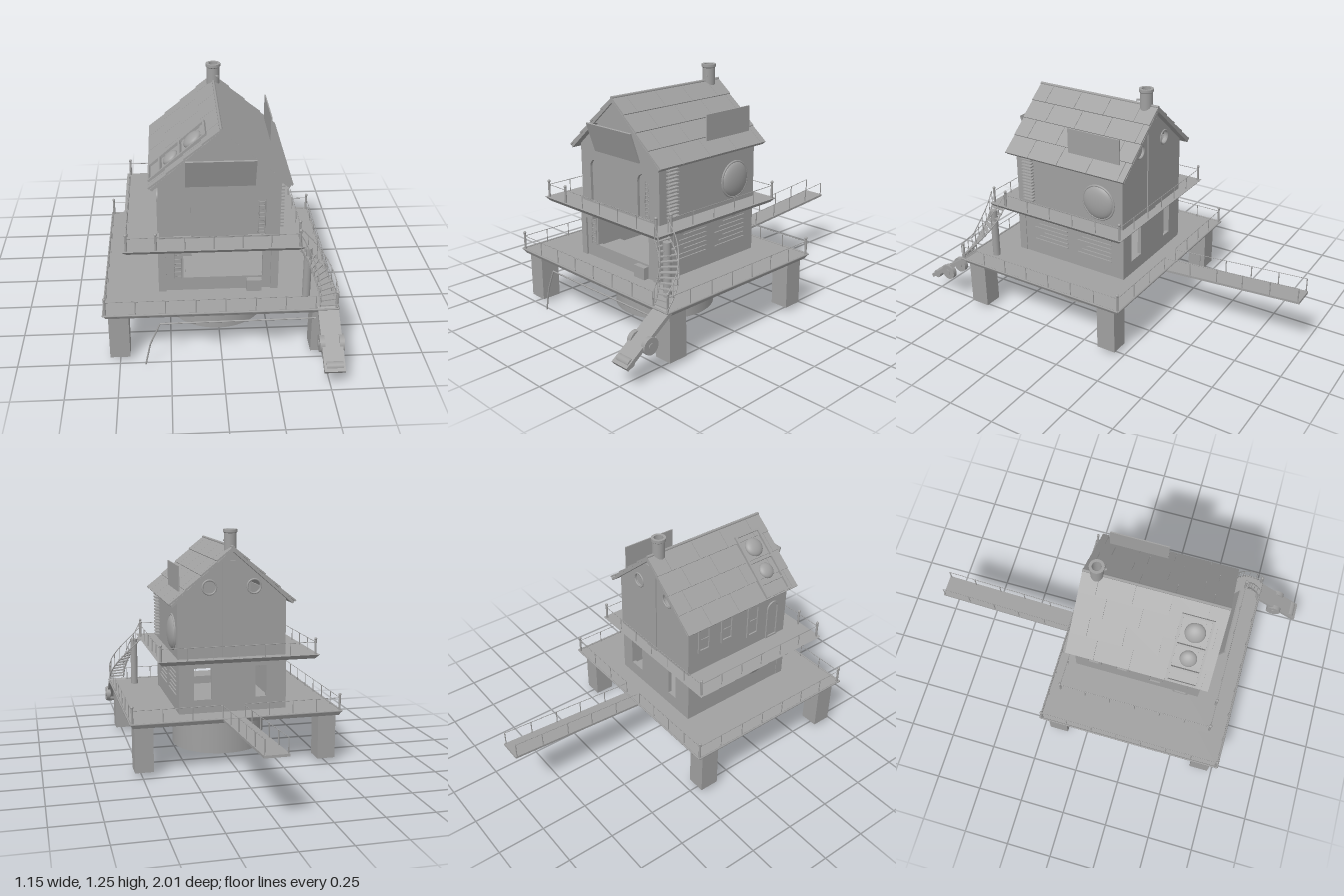
import * as THREE from 'three';

const grey = new THREE.MeshStandardMaterial({ color: 0xa0a0a0, side: THREE.DoubleSide });
grey.name = 'weatheredGrey';

export function createModel() {
  const model = new THREE.Group();
  const V = (x, y, z) => new THREE.Vector3(x, y, z);

  const add = (name, geo, x = 0, y = 0, z = 0, parent = model) => {
    const m = new THREE.Mesh(geo, grey);
    m.name = name;
    m.position.set(x, y, z);
    parent.add(m);
    return m;
  };
  const box = (name, x0, x1, y0, y1, z0, z1, parent) =>
    add(name, new THREE.BoxGeometry(x1 - x0, y1 - y0, z1 - z0), (x0 + x1) / 2, (y0 + y1) / 2, (z0 + z1) / 2, parent);
  const bar = (name, a, b, r, parent, sides = 6) => {
    const m = add(name, new THREE.CylinderGeometry(r, r, a.distanceTo(b), sides), 0, 0, 0, parent);
    m.position.copy(a).lerp(b, 0.5);
    m.quaternion.setFromUnitVectors(V(0, 1, 0), b.clone().sub(a).normalize());
    return m;
  };
  const dome = (name, r, sx, sy, sz, x, y, z, parent) =>
    add(name, new THREE.SphereGeometry(r, 24, 16), x, y, z, parent).scale.set(sx, sy, sz);
  // deck slab whose underside is smaller than its top
  const slab = (name, x0, x1, y0, y1, z0, z1, inset) => {
    const w = x1 - x0, d = z1 - z0, g = new THREE.BoxGeometry(w, y1 - y0, d).toNonIndexed(), p = g.attributes.position;
    for (let i = 0; i < p.count; i++)
      if (p.getY(i) < 0) {
        p.setX(i, p.getX(i) * (1 - 2 * inset / w));
        p.setZ(i, p.getZ(i) * (1 - 2 * inset / d));
      }
    g.computeVertexNormals();
    add(name, g, (x0 + x1) / 2, (y0 + y1) / 2, (z0 + z1) / 2);
  };
  const poly = (pts) => new THREE.Shape(pts.map(([x, y]) => new THREE.Vector2(x, y)));
  const rectHole = (x0, x1, y0, y1) => poly([[x0, y0], [x0, y1], [x1, y1], [x1, y0]]);
  const archShape = (x0, x1, y0, y1) => {
    const s = new THREE.Shape(), r = (x1 - x0) / 2;
    s.moveTo(x0, y0).lineTo(x1, y0).lineTo(x1, y1 - r).absarc((x0 + x1) / 2, y1 - r, r, 0, Math.PI, false);
    return s;
  };
  const circleHole = (x, y, r) => new THREE.Path().absarc(x, y, r, 0, Math.PI * 2, true);
  const plate = (name, shape, holes, depth, z, parent) => {
    shape.holes.push(...holes);
    return add(name, new THREE.ExtrudeGeometry(shape, { depth, bevelEnabled: false, curveSegments: 16 }), 0, 0, z, parent);
  };

  // foundation drum, flange and corner legs
  const drum = [[0.245, 0.265], [0.245, 0.02], [0.26, 0.02], [0.26, 0.235], [0.28, 0.24], [0.3, 0.266]];
  for (let i = 0; i < drum.length - 1; i++)
    add('foundationDrum', new THREE.LatheGeometry([drum[i], drum[i + 1]].map(([r, y]) => new THREE.Vector2(r, y)), 48), -0.005, 0, 0.255);
  for (const x of [-0.5, 0.488]) for (const z of [-0.16, 0.675])
    box('leg', x - 0.049, x + 0.049, 0.02, 0.266, z - 0.052, z + 0.052);

  // decks
  slab('lowerDeck', -0.57, 0.56, 0.265, 0.288, -0.25, 0.76, 0.012);
  slab('upperDeck', -0.47, 0.4, 0.56, 0.583, -0.165, 0.67, 0.02);
  for (const [a, b, c, d] of [[-0.57, -0.25, 0.56, -0.25], [0.56, -0.25, 0.56, 0.76], [0.56, 0.76, -0.57, 0.76], [-0.57, 0.76, -0.57, -0.25]])
    bar('deckTrim', V(a, 0.289, b), V(c, 0.289, d), 0.005);

  // railings with knobbed corner posts and thin rails
  const railing = (name, pts, y, h, knobs) => {
    const g = new THREE.Group();
    g.name = name;
    model.add(g);
    pts.forEach(([x, z], i) => {
      const a = V(x, y, z);
      if (knobs.includes(i)) {
        bar('cornerPost', a, V(x, y + h + 0.012, z), 0.006, g, 8);
        dome('postKnob', 0.008, 1, 1, 1, x, y + h + 0.018, z, g);
      }
      if (i === pts.length - 1) return;
      const b = V(pts[i + 1][0], y, pts[i + 1][1]), n = Math.max(1, Math.round(a.distanceTo(b) / 0.145));
      bar('rail', V(a.x, y + h, a.z), V(b.x, y + h, b.z), 0.0018, g, 5);
      for (let k = 0; k <= n; k++) {
        const p = a.clone().lerp(b, k / n);
        bar('railPost', p, V(p.x, y + h, p.z), 0.0025, g, 5);
      }
    });
  };
  railing('lowerRailing', [[-0.04, -0.24], [-0.56, -0.24], [-0.56, 0.75], [0.45, 0.75]], 0.288, 0.072, [1, 2]);
  railing('lowerRailingSide', [[0.08, -0.24], [0.55, -0.24], [0.55, 0.75]], 0.288, 0.072, [1, 2]);
  railing('upperRailing', [[0.385, 0.57], [0.385, -0.15], [-0.45, -0.15], [-0.45, 0.655], [-0.31, 0.655], [0.375, 0.655]], 0.583, 0.067, [0, 1, 2, 3, 4, 5]);

  // rear gangway
  const ramp = box('gangway', -0.04, 0.08, -0.006, 0.006, -0.376, 0.376);
  ramp.position.set(0.02, 0.307, -0.624);
  ramp.rotation.x = Math.atan2(0.05, 0.75);
  for (const x of [-0.035, 0.075]) {
    bar('gangwayRail', V(x, 0.355, -0.25), V(x, 0.41, -0.99), 0.0018);
    for (const z of [-0.39, -0.545, -0.69, -0.84, -0.99])
      bar('gangwayPost', V(x, 0.282 - (z + 0.25) * 0.067, z), V(x, 0.356 - (z + 0.25) * 0.074, z), 0.003);
  }

  // lower storey: front bay, rear wall with two openings, side walls
  const lower = () => poly([[-0.3, 0.288], [0.285, 0.288], [0.285, 0.562], [-0.3, 0.562]]);
  plate('lowerFrontWall', lower(), [rectHole(-0.18, 0.21, 0.36, 0.53)], 0.025, 0.53);
  plate('lowerBackWall', lower(), [rectHole(-0.19, -0.13, 0.36, 0.53), rectHole(0.11, 0.205, 0.36, 0.53)], 0.02, -0.11);
  box('lowerLeftWall', 0.265, 0.285, 0.288, 0.562, -0.09, 0.53);
  box('lowerRightWall', -0.3, -0.28, 0.288, 0.562, -0.09, 0.53);
  box('counter', -0.17, 0.2, 0.34, 0.36, 0.42, 0.53);
  box('frontBench', 0.13, 0.205, 0.288, 0.35, 0.555, 0.585);
  box('cornerPilaster', 0.25, 0.288, 0.288, 0.56, 0.52, 0.565);
  box('cornerPilaster', -0.303, -0.265, 0.288, 0.56, 0.52, 0.565);
  box('porchLamp', -0.2, -0.14, 0.525, 0.562, 0.57, 0.62);
  for (const z of [0.05, 0.42]) {
    bar('deckBrace', V(-0.38, 0.562, z), V(-0.3, 0.51, z), 0.004);
    bar('deckBrace', V(0.365, 0.562, z), V(0.285, 0.51, z), 0.004);
  }
  dome('sidePorthole', 0.07, 0.3, 1, 1, -0.298, 0.45, 0.35);
  for (let i = 0; i < 6; i++) for (const z of [-0.04, 0.24])
    box('wallSlat', 0.284, 0.292, 0.375 + i * 0.024, 0.379 + i * 0.024, z, z + 0.215 - (i % 3) * 0.03);

  // ladders made of two stiles and rungs
  const ladder = (x0, x1, y0, y1, z, n) => {
    for (const x of [x0, x1]) bar('ladderStile', V(x, y0, z), V(x, y1, z), 0.003);
    for (let i = 0; i < n; i++) {
      const y = y0 + (i + 0.5) / n * (y1 - y0);
      bar('ladderRung', V(x0, y, z), V(x1, y, z), 0.0025);
    }
  };
  ladder(-0.225, -0.19, 0.36, 0.53, 0.56, 7);
  ladder(0.185, 0.215, 0.6, 0.78, 0.55, 9);

  // upper storey: gabled walls with arched doors and round windows
  const gable = () => poly([[-0.295, 0.58], [0.29, 0.58], [0.29, 0.892], [0, 1.142], [-0.295, 0.892]]);
  const doors = [[-0.225, -0.14], [0.135, 0.22]];
  plate('frontGable', gable(), doors.map(([a, b]) => archShape(a, b, 0.59, 0.815)), 0.02, 0.535);
  doors.forEach(([a, b]) => plate('archedDoor', archShape(a, b, 0.585, 0.815), [], 0.008, 0.533));
  plate('backGable', gable(), [circleHole(-0.12, 0.955, 0.035), circleHole(0.12, 0.955, 0.035)], 0.02, -0.11);
  for (const x of [-0.12, 0.12]) add('roundWindowFrame', new THREE.TorusGeometry(0.037, 0.005, 8, 24), x, 0.955, -0.11);
  add('roundWindowPane', new THREE.CircleGeometry(0.036, 24), 0.12, 0.955, -0.1);
  box('backPilaster', -0.03, 0.05, 0.58, 1.09, -0.116, -0.109);
  box('upperLeftWall', 0.27, 0.29, 0.58, 0.895, -0.09, 0.535);
  box('upperRightWall', -0.295, -0.275, 0.58, 0.895, -0.09, 0.535);
  plate('gableTriangle', poly([[-0.165, 1.018], [0.165, 1.018], [0, 1.155]]), [], 0.025, 0.555);
  const sign = box('frontSignBoard', -0.165, 0.165, -0.08, 0.08, -0.004, 0.004);
  sign.position.set(0, 0.945, 0.59);
  sign.rotation.x = 0.33;

  // left side: bulging window and vent stack
  dome('bulgeWindow', 0.092, 0.33, 1, 1, 0.288, 0.705, 0.035);
  add('bulgeWindowFrame', new THREE.TorusGeometry(0.093, 0.006, 8, 36), 0.291, 0.705, 0.035).rotation.y = Math.PI / 2;
  for (let i = 0; i < 14; i++)
    box('ventSlat', 0.288, 0.313, 0.61 + i * 0.018, 0.617 + i * 0.018, 0.445, 0.51);

  // right side: framed windows, shutter panel and arched door
  for (const [z, y0, y1] of [[-0.01, 0.7, 0.85], [0.14, 0.7, 0.85], [0.32, 0.65, 0.84]]) {
    const w = plate('sideWindowFrame', rectHole(z - 0.04, z + 0.04, y0, y1), [rectHole(z - 0.028, z + 0.028, y0 + 0.015, y1 - 0.015)], 0.01, 0);
    w.rotation.y = -Math.PI / 2;
    w.position.x = -0.293;
    box('windowBar', -0.299, -0.294, (y0 + y1) / 2 - 0.004, (y0 + y1) / 2 + 0.004, z - 0.03, z + 0.03);
  }
  const sideDoor = plate('sideDoor', archShape(0.42, 0.5, 0.585, 0.81), [archShape(0.43, 0.49, 0.595, 0.8)], 0.01, 0);
  sideDoor.rotation.y = -Math.PI / 2;
  sideDoor.position.x = -0.293;

  // roof: each slope is a sheet with four courses of overlapping panels
  const slope = Math.atan2(0.29, 0.335), L = 0.443, D = 0.735;
  const roofSide = (name, turn) => {
    const outer = new THREE.Group(), g = new THREE.Group();
    outer.name = name;
    outer.position.set(0, 1.168, 0.2225);
    outer.rotation.y = turn;
    g.rotation.z = -slope;
    outer.add(g);
    model.add(outer);
    box('roofSheet', 0, L, -0.022, -0.008, -D / 2, D / 2, g);
    for (let c = 0; c < 4; c++) {
      const cuts = [0, 0.13, 0.38, 0.63, 0.88, 1].map((u, i) => (i === 0 || i === 5 ? u : u - (c % 2) * 0.08));
      for (let k = 0; k < 5; k++) {
        const p = box('roofPanel', c * L / 4, (c + 1) * L / 4 + 0.004, -0.008, 0.001, -D / 2 + cuts[k] * D + 0.001, -D / 2 + cuts[k + 1] * D - 0.001, g);
        p.rotation.z = 0.05;
      }
    }
    return g;
  };
  roofSide('leftRoof', 0);
  const rightRoof = roofSide('rightRoof', Math.PI);
  bar('ridgeCap', V(0, 1.163, -0.145), V(0, 1.163, 0.59), 0.008);

  // skylight frame with two domes
  for (const z of [-0.313, -0.16]) box('skylightFrame', 0.08, 0.44, -0.005, 0.014, z, z + 0.012, rightRoof);
  for (const s of [0.08, 0.235, 0.36, 0.43]) box('skylightFrame', s, s + 0.01, -0.005, 0.014, -0.313, -0.148, rightRoof);
  dome('skylightDome', 0.052, 1, 0.5, 1, 0.165, 0.002, -0.2325, rightRoof);
  dome('skylightDome', 0.043, 1, 0.5, 1, 0.304, 0.002, -0.2325, rightRoof);

  // roof-side panel and chimney
  box('uprightPanel', 0.272, 0.278, 0.935, 1.067, -0.085, 0.225);
  const flue = [[0.024, 1.1], [0.024, 1.25], [0.038, 1.25], [0.038, 1.235], [0.033, 1.23], [0.033, 1.09]];
  for (let i = 0; i < flue.length - 1; i++)
    add('chimney', new THREE.LatheGeometry([flue[i], flue[i + 1]].map(([r, y]) => new THREE.Vector2(r, y)), 24), 0, 0, -0.072);
  bar('chimneyPeg', V(0.01, 1.19, -0.05), V(0.025, 1.19, -0.03), 0.006);

  // curved stair between the decks
  const stairAt = (t, r, h) => V(0.38 + r * Math.sin(t * Math.PI / 2), 0.57 - 0.27 * t + h, 0.76 - r * Math.cos(t * Math.PI / 2));
  const sweep = (name, r, h, thick) =>
    add(name, new THREE.TubeGeometry(new THREE.CatmullRomCurve3([0, 0.2, 0.4, 0.6, 0.8, 1].map(t => stairAt(t, r, h))), 24, thick, 6));
  for (const r of [0.09, 0.175]) {
    sweep('stairStringer', r, 0, 0.004);
    sweep('stairRail', r, 0.075, 0.0025);
    for (let i = 0; i <= 6; i++) bar('stairPost', stairAt(i / 6, r, 0), stairAt(i / 6, r, 0.075), 0.002);
  }
  for (let i = 0; i < 13; i++) {
    const t = (i + 0.5) / 13, p = stairAt(t, 0.1325, 0);
    add('stairTread', new THREE.BoxGeometry(0.018, 0.005, 0.085), p.x, p.y, p.z).rotation.y = -t * Math.PI / 2;
  }
  bar('stairColumn', V(0.42, 0.288, 0.63), V(0.42, 0.56, 0.63), 0.02, model, 20);

  // wheeled boarding plank at the front corner
  const plank = box('boardingPlank', 0.46, 0.56, -0.01, 0.01, -0.16, 0.16);
  plank.position.set(0.51, 0.195, 0.87);
  plank.rotation.x = Math.atan2(0.18, 0.26);
  for (const x of [0.463, 0.557]) {
    bar('plankWheel', V(x - 0.012, 0.172, 0.868), V(x + 0.012, 0.172, 0.868), 0.042, model, 24);
    bar('wheelHub', V(x - 0.016, 0.172, 0.868), V(x + 0.016, 0.172, 0.868), 0.016, model, 12);
  }
  bar('plankRoller', V(0.472, 0.12, 0.972), V(0.552, 0.12, 0.972), 0.022, model, 16);

  // drain pipe under the front edge
  const drain = [V(-0.375, 0, 0.762), V(-0.35, 0.12, 0.762), V(-0.3, 0.238, 0.762), V(0.45, 0.242, 0.762)];
  for (let i = 0; i < 3; i++) bar('drainPipe', drain[i], drain[i + 1], 0.004, model, 8);

  return model;
}
